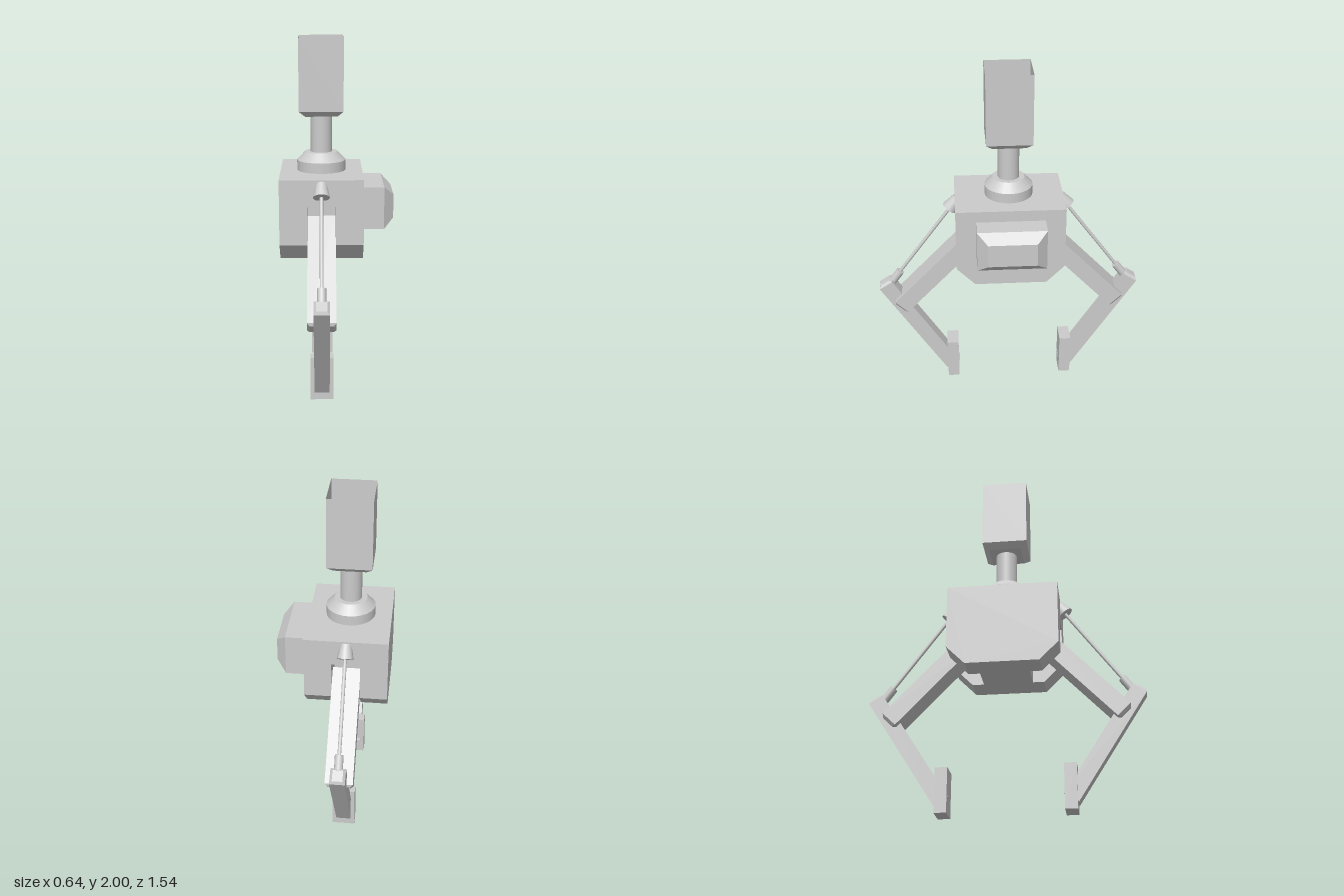
import * as THREE from 'three';

const CX = -0.087; // x of the body's centre plane
const smooth = new THREE.MeshStandardMaterial({ color: 0xcccccc });
const flat = new THREE.MeshStandardMaterial({ color: 0xcccccc, flatShading: true });
const shell = new THREE.MeshStandardMaterial({ color: 0xcccccc, flatShading: true, side: THREE.DoubleSide });

function mesh(name, geometry, material = flat) {
  const m = new THREE.Mesh(geometry, material);
  m.name = name;
  return m;
}

// Box whose top face is scaled to tx, tz
function taperedBox(w, h, d, tx, tz) {
  const g = new THREE.BoxGeometry(w, h, d);
  const p = g.attributes.position;
  for (let i = 0; i < p.count; i++) {
    if (p.getY(i) > 0) {
      p.setX(i, p.getX(i) * tx);
      p.setZ(i, p.getZ(i) * tz);
    }
  }
  g.computeVertexNormals();
  return g;
}

// Place a mesh modelled along y so that it spans a to b, both given as [z, y]
function span(m, a, b) {
  m.position.set(0, (a[1] + b[1]) / 2, (a[0] + b[0]) / 2);
  m.rotation.x = Math.atan2(b[0] - a[0], b[1] - a[1]);
  return m;
}

const dist = (a, b) => Math.hypot(b[0] - a[0], b[1] - a[1]);

// Square beam from a to b with a bevelled end at b
function beam(name, a, b, width, thick) {
  const bevel = 0.014;
  const L = dist(a, b);
  const cut = [b[0] + (a[0] - b[0]) * bevel / L, b[1] + (a[1] - b[1]) * bevel / L];
  const g = new THREE.Group();
  g.name = name;
  g.add(span(mesh(name + 'Bar', new THREE.BoxGeometry(width, L - bevel, thick)), a, cut));
  g.add(span(mesh(name + 'Tip', taperedBox(width, bevel, thick, 1 - 2 * bevel / width, 1 - 2 * bevel / thick)), cut, b));
  return g;
}

// Round bar from a (radius ra) to b (radius rb)
function rod(name, a, b, ra, rb = ra) {
  return span(mesh(name, new THREE.CylinderGeometry(rb, ra, dist(a, b), 16), smooth), a, b);
}

function makeLeg(name) {
  const g = new THREE.Group();
  g.name = name;
  g.add(beam('upperLeg', [0.2, 0.999], [0.655, 0.524], 0.155, 0.1));
  g.add(beam('lowerLeg', [0.348, 0.067], [0.742, 0.68], 0.085, 0.09));
  const foot = mesh('foot', new THREE.BoxGeometry(0.13, 0.25, 0.068));
  foot.position.set(0, 0.125, 0.347);
  g.add(foot);
  // Push rod with its socket on the body and collar at the knee
  g.add(rod('rodSocket', [0.34, 1.16], [0.291, 1.226], 0.046, 0.03));
  g.add(rod('pushRod', [0.31, 1.2], [0.69, 0.685], 0.01));
  g.add(rod('rodCollar', [0.645, 0.745], [0.697, 0.674], 0.024));
  return g;
}

// Slice of the body: a [z, y] outline extruded along x between x0 and x1
function bodySlice(name, outline, x0, x1) {
  const shape = new THREE.Shape(outline.map(([z, y]) => new THREE.Vector2(z, y)));
  const g = new THREE.ExtrudeGeometry(shape, { depth: x1 - x0, bevelEnabled: false });
  g.rotateY(-Math.PI / 2);
  g.translate(x1, 0, 0);
  return mesh(name, g);
}

export function createModel() {
  const root = new THREE.Group();
  root.name = 'walker';
  const core = new THREE.Group();
  core.name = 'core';
  core.position.x = CX;
  root.add(core);

  // Body with a slot at each end for the legs
  const full = [[-0.205, 0.78], [0.205, 0.78], [0.31, 0.885], [0.31, 1.25], [-0.31, 1.25], [-0.31, 0.885]];
  const slotted = [[-0.14, 0.78], [0.14, 0.78], [0.14, 1.1], [0.31, 1.1],
    [0.31, 1.25], [-0.31, 1.25], [-0.31, 1.1], [-0.14, 1.1]];
  core.add(bodySlice('bodyLeft', full, 0.079, 0.232));
  core.add(bodySlice('bodyMiddle', slotted, -0.079, 0.079));
  core.add(bodySlice('bodyRight', full, -0.232, -0.079));

  // Neck
  const neckParts = [
    ['neckBase', 0.138, 0.138, 1.25, 1.308],
    ['neckCollar', 0.138, 0.092, 1.308, 1.356],
    ['neckPost', 0.061, 0.061, 1.35, 1.562],
  ];
  for (const [name, r0, r1, y0, y1] of neckParts) {
    const m = mesh(name, new THREE.CylinderGeometry(r1, r0, y1 - y0, 24), smooth);
    m.position.y = (y0 + y1) / 2;
    core.add(m);
  }

  // Open-topped square head
  const profile = [[0, 1.565], [0.094, 1.565], [0.13, 1.597], [0.13, 2]]
    .map(([r, y]) => new THREE.Vector2(r * Math.SQRT2, y));
  const head = mesh('head', new THREE.LatheGeometry(profile, 4, Math.PI / 4), shell);
  head.scale.x = 0.955;
  core.add(head);

  // Side pod with a tapered outer face
  const pod = mesh('sidePod', new THREE.BoxGeometry(0.13, 0.24, 0.39));
  pod.position.set(0.199, 1.065, 0);
  pod.position.x = 0.198;
  const podEnd = mesh('sidePodEnd', taperedBox(0.24, 0.055, 0.39, 0.56, 0.7));
  podEnd.rotation.z = -Math.PI / 2;
  podEnd.position.set(0.2905, 1.065, 0);
  root.add(pod, podEnd);

  // Front and back legs
  const frontLeg = makeLeg('frontLeg');
  const backLeg = makeLeg('backLeg');
  backLeg.rotation.y = Math.PI;
  core.add(frontLeg, backLeg);

  return root;
}
